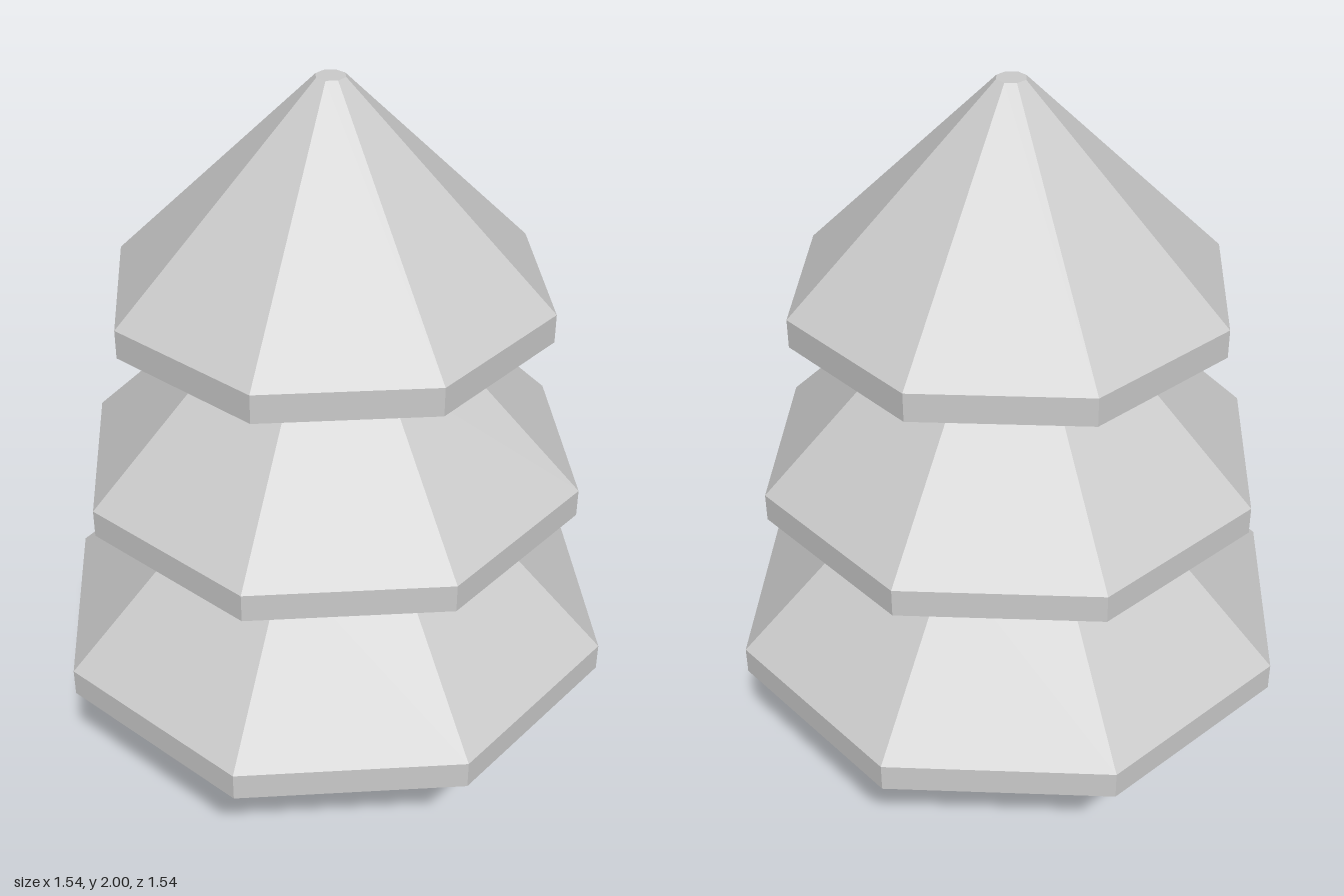
import * as THREE from 'three';

const SIDES = 8;
const material = new THREE.MeshStandardMaterial({ color: 0xcccccc, flatShading: true });

// Faceted solid turned from [radius, height] pairs, listed bottom to top
function turned(name, profile) {
  const points = profile.map(([r, y]) => new THREE.Vector2(r, y));
  const geometry = new THREE.LatheGeometry(points, SIDES).toNonIndexed();
  geometry.computeVertexNormals();
  const mesh = new THREE.Mesh(geometry, material);
  mesh.name = name;
  return mesh;
}

// Branch tier: flat underside, upright rim, sloping skirt, then a short neck or flat tip
function tier(name, { bottom, rim, radius, top, topRadius, neckTop }) {
  return turned(name, [
    [0, bottom], [radius, bottom], [radius, rim], [topRadius, top],
    [neckTop ? topRadius : 0, neckTop ?? top],
  ]);
}

export function createModel() {
  const tree = new THREE.Group();
  tree.name = 'pineTree';

  tree.add(turned('trunk', [[0, 0], [0.076, 0], [0.076, 0.39]]));
  tree.add(tier('lowerBranches', { bottom: 0.39, rim: 0.467, radius: 0.768, top: 0.85, topRadius: 0.383, neckTop: 0.888 }));
  tree.add(tier('middleBranches', { bottom: 0.888, rim: 0.964, radius: 0.671, top: 1.35, topRadius: 0.288, neckTop: 1.388 }));
  tree.add(tier('upperBranches', { bottom: 1.388, rim: 1.464, radius: 0.575, top: 2, topRadius: 0.038 }));

  return tree;
}
